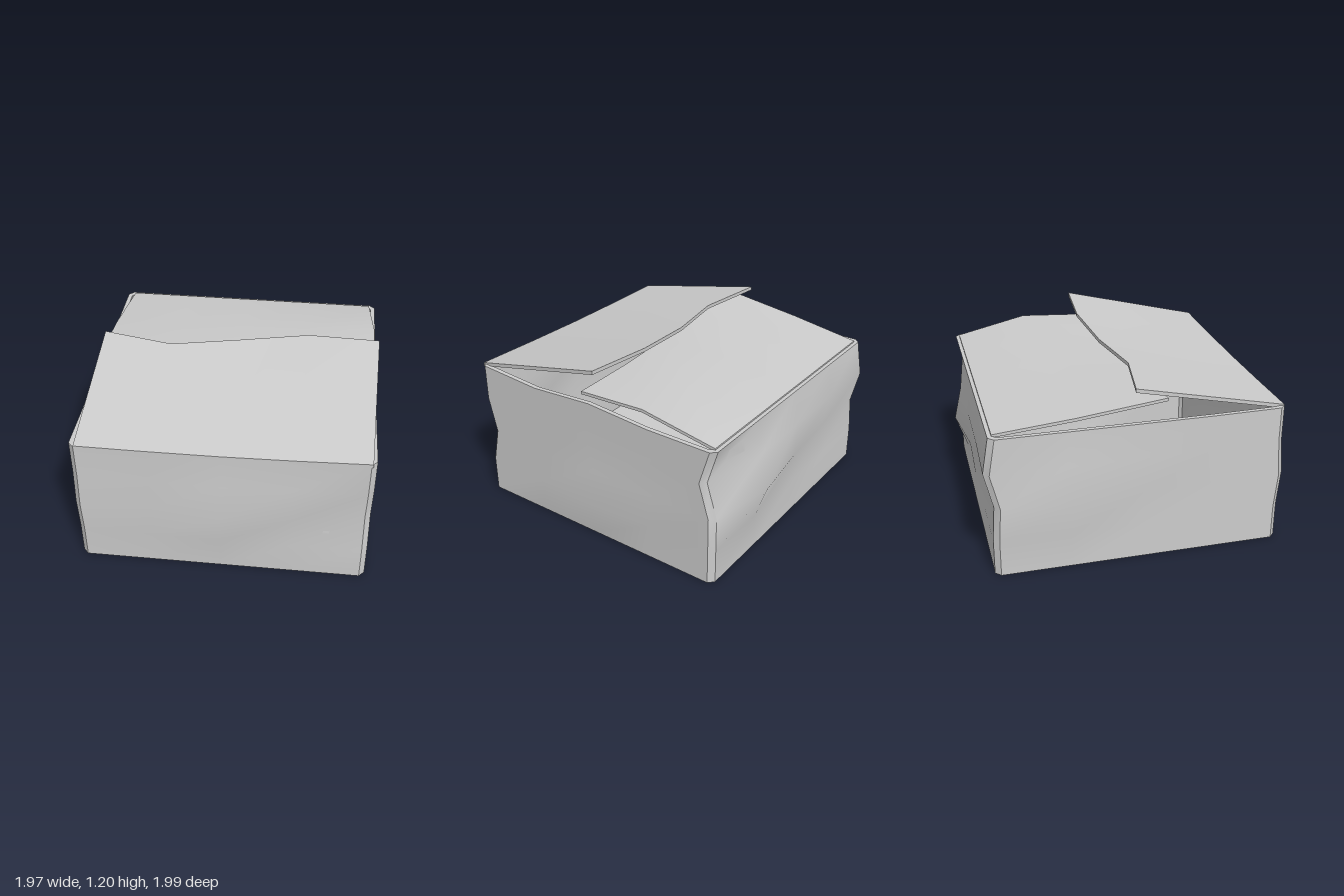
import * as THREE from 'three';

const material = new THREE.MeshStandardMaterial({ color: 0xcccccc, side: THREE.DoubleSide });
const V = (x, y, z) => new THREE.Vector3(x, y, z);
const X = 0.935, ZF = 0.945, ZB = -0.91, CHAMFER = 0.035, THICK = 0.03;

// Smooth sheet through rows of points; faces along (row direction) x (row to row).
function sheet(name, rows) {
  const n = rows[0].length, index = [];
  for (let j = 0; j < rows.length - 1; j++) {
    for (let i = 0; i < n - 1; i++) {
      const a = j * n + i, b = a + 1, c = a + n, d = c + 1;
      index.push(a, b, d, a, d, c);
    }
  }
  const geometry = new THREE.BufferGeometry().setFromPoints(rows.flat());
  geometry.setIndex(index);
  geometry.computeVertexNormals();
  const mesh = new THREE.Mesh(geometry, material);
  mesh.name = name;
  return mesh;
}

// Bent panel with thickness: top sheet, underside and four edges.
function panel(name, rows, thick) {
  const group = new THREE.Group();
  group.name = name;
  const under = rows.map(r => r.map(p => p.clone().setY(p.y - thick)));
  const column = (g, i) => g.map(r => r[i]);
  const last = rows.length - 1, end = rows[0].length - 1;
  group.add(
    sheet(name + 'Top', rows),
    sheet(name + 'Underside', under.map(r => [...r].reverse())),
    sheet(name + 'HingeEdge', [under[0], rows[0]]),
    sheet(name + 'FreeEdge', [rows[last], under[last]]),
    sheet(name + 'SideEdge', [column(rows, 0), column(under, 0)]),
    sheet(name + 'SideEdge', [column(under, end), column(rows, end)]),
  );
  return group;
}

// Corner shifts in z for the five heights, counter-clockwise from the front left of the plan.
const corners = [
  { x: -X, z: ZF, dz: [0, 0, 0.02, 0, 0] },
  { x: X, z: ZF, dz: [0, 0, -0.055, 0, 0] },
  { x: X, z: ZB, dz: [0, 0, 0, 0.07, 0] },
  { x: -X, z: ZB, dz: [0, 0, 0.015, -0.04, 0] },
];

// Walls run from corner i to corner i + 1; bulge[height] is for the three inner columns.
const flat = [0, 0, 0];
const walls = [
  { name: 'frontWall', out: [0, 1], rim: [0.935, 0.93, 0.93, 0.94, 0.96],
    bulge: [flat, [0, 0.01, 0], [0, 0.07, 0.05], [0, 0.01, 0], flat] },
  { name: 'leftWall', out: [1, 0], rim: [0.96, 0.93, 0.96, 0.93, 0.93],
    bulge: [flat, [0, 0.045, 0], [0, 0.012, 0], flat, flat] },
  { name: 'backWall', out: [0, -1], rim: [0.93, 0.93, 0.93, 0.93, 0.93],
    bulge: [flat, flat, [0.085, 0.03, 0], [0.07, 0.04, 0.015], flat] },
  { name: 'rightWall', out: [-1, 0], rim: [0.93, 0.93, 0.93, 0.93, 0.935],
    bulge: [flat, flat, [0.05, 0, 0], [0.01, 0, 0], flat] },
];

function wallRows(k, inset) {
  const wall = walls[k], a = corners[k], b = corners[(k + 1) % 4], [ox, oz] = wall.out;
  return wall.bulge.map((bulge, j) => wall.rim.map((top, i) => {
    const t = i / 4;
    const push = (i > 0 && i < 4 ? bulge[i - 1] : 0) - inset;
    const along = CHAMFER * (1 - 2 * t) + inset * (1 - 2 * t) * 0.6;
    const x = THREE.MathUtils.lerp(a.x, b.x, t) + oz * along + ox * push;
    const z = THREE.MathUtils.lerp(a.z + a.dz[j], b.z + b.dz[j], t) - ox * along + oz * push;
    return V(x, top * j / 4, z);
  }));
}

// Four walls with a narrow strip at each corner.
function shell(name, inset, inside) {
  const group = new THREE.Group();
  group.name = name;
  const all = walls.map((w, k) => wallRows(k, inset));
  const turn = rows => inside ? rows.map(r => [...r].reverse()) : rows;
  all.forEach((rows, k) => {
    const next = all[(k + 1) % 4];
    group.add(sheet(walls[k].name, turn(rows)));
    group.add(sheet('cornerStrip', turn(rows.map((r, j) => [r[4], next[j][0]]))));
  });
  const ring = j => [...all.flatMap(rows => rows[j]), all[0][j][0]];
  return { group, ring };
}

export function createModel() {
  const model = new THREE.Group();
  model.name = 'openBox';

  // Body
  const outer = shell('outerWalls', 0, false);
  const inner = shell('innerWalls', THICK, true);
  model.add(outer.group, inner.group, sheet('rim', [outer.ring(4), inner.ring(4)]));

  // Floor
  const plan = new THREE.Shape(outer.ring(0).slice(0, -1).map(p => new THREE.Vector2(p.x * 0.999, p.z * 0.999)));
  const floor = new THREE.Mesh(new THREE.ExtrudeGeometry(plan, { depth: THICK, bevelEnabled: false }), material);
  floor.geometry.rotateX(Math.PI / 2).translate(0, THICK, 0);
  floor.name = 'floor';
  model.add(floor);

  // Front flap, raised and lying over the back one
  const frontHinge = [V(-0.9, 0.94, ZF), V(-0.46, 0.938, ZF), V(0, 0.94, ZF), V(0.46, 0.95, ZF), V(0.91, 0.965, ZF)];
  const frontTip = [V(-0.9, 1.145, -0.02), V(-0.44, 1.13, 0.06), V(0, 1.14, -0.02), V(0.47, 1.18, -0.07), V(0.935, 1.195, -0.03)];
  const frontMid = frontHinge.map((p, i) => p.clone().lerp(frontTip[i], 0.5));
  model.add(panel('frontFlap', [frontHinge, frontMid, frontTip], 0.025));

  // Back flap, creased across the middle on its left side
  const xs = [0.92, 0.46, 0, -0.46, -0.91];
  const midY = [1.045, 1.035, 1.015, 1.005, 1.0];
  const tipY = [1.02, 1.02, 1.015, 1.04, 1.07];
  const tipZ = [0.08, 0.09, 0.13, 0.16, 0.18];
  model.add(panel('backFlap', [
    xs.map(x => V(x * 0.97, 0.94, -0.885)),
    xs.map((x, i) => V(x, midY[i], -0.39)),
    xs.map((x, i) => V(x, tipY[i], tipZ[i])),
  ], 0.02));

  return model;
}
